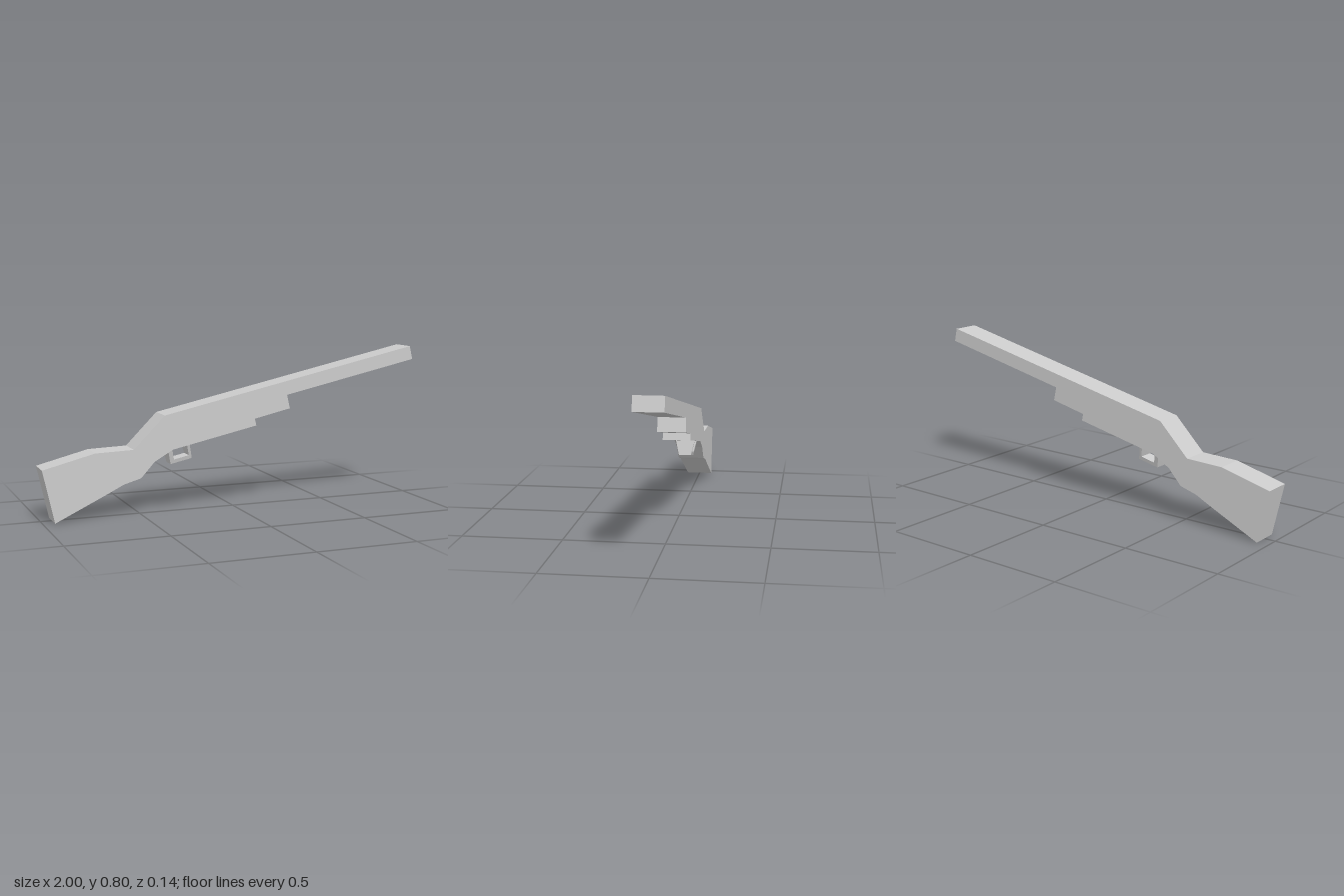
import * as THREE from 'three';

const material = new THREE.MeshStandardMaterial({ color: 0xcccccc, flatShading: true });

// Extrude a side outline to a given thickness, centred on z = 0
function slab(points, depth) {
  const shape = new THREE.Shape(points.map(([x, y]) => new THREE.Vector2(x, y)));
  return new THREE.ExtrudeGeometry(shape, { depth, bevelEnabled: false }).translate(0, 0, -depth / 2);
}

export function createModel() {
  const group = new THREE.Group();
  group.name = 'longGun';

  // Stock, receiver, stepped fore-end and barrel share one side outline
  const body = new THREE.Mesh(slab([
    [-1, 0.265], [-0.942, 0.002], [-0.68, 0.127], [-0.6, 0.167], [-0.51, 0.193],
    [-0.44, 0.27], [-0.345, 0.325],
    [0.102, 0.422], [0.094, 0.457],
    [0.288, 0.501], [0.272, 0.571],
    [1, 0.731], [0.984, 0.8],
    [-0.385, 0.498], [-0.545, 0.337], [-0.74, 0.331],
  ], 0.14), material);
  body.name = 'stockAndBarrel';
  group.add(body);

  // Trigger guard: open U that narrows away from the receiver
  const guard = slab([
    [-0.362, 0.317], [-0.345, 0.246], [-0.233, 0.27], [-0.25, 0.346],
    [-0.264, 0.343], [-0.25, 0.286], [-0.328, 0.269], [-0.342, 0.326],
  ], 0.1);
  const pos = guard.attributes.position;
  for (let i = 0; i < pos.count; i++) {
    const drop = 0.325 + (pos.getX(i) + 0.345) * 0.217 - pos.getY(i);
    pos.setZ(i, pos.getZ(i) * (1 - 4.6 * Math.max(0, drop)));
  }
  guard.computeVertexNormals();
  const guardMesh = new THREE.Mesh(guard, material);
  guardMesh.name = 'triggerGuard';
  group.add(guardMesh);

  return group;
}
